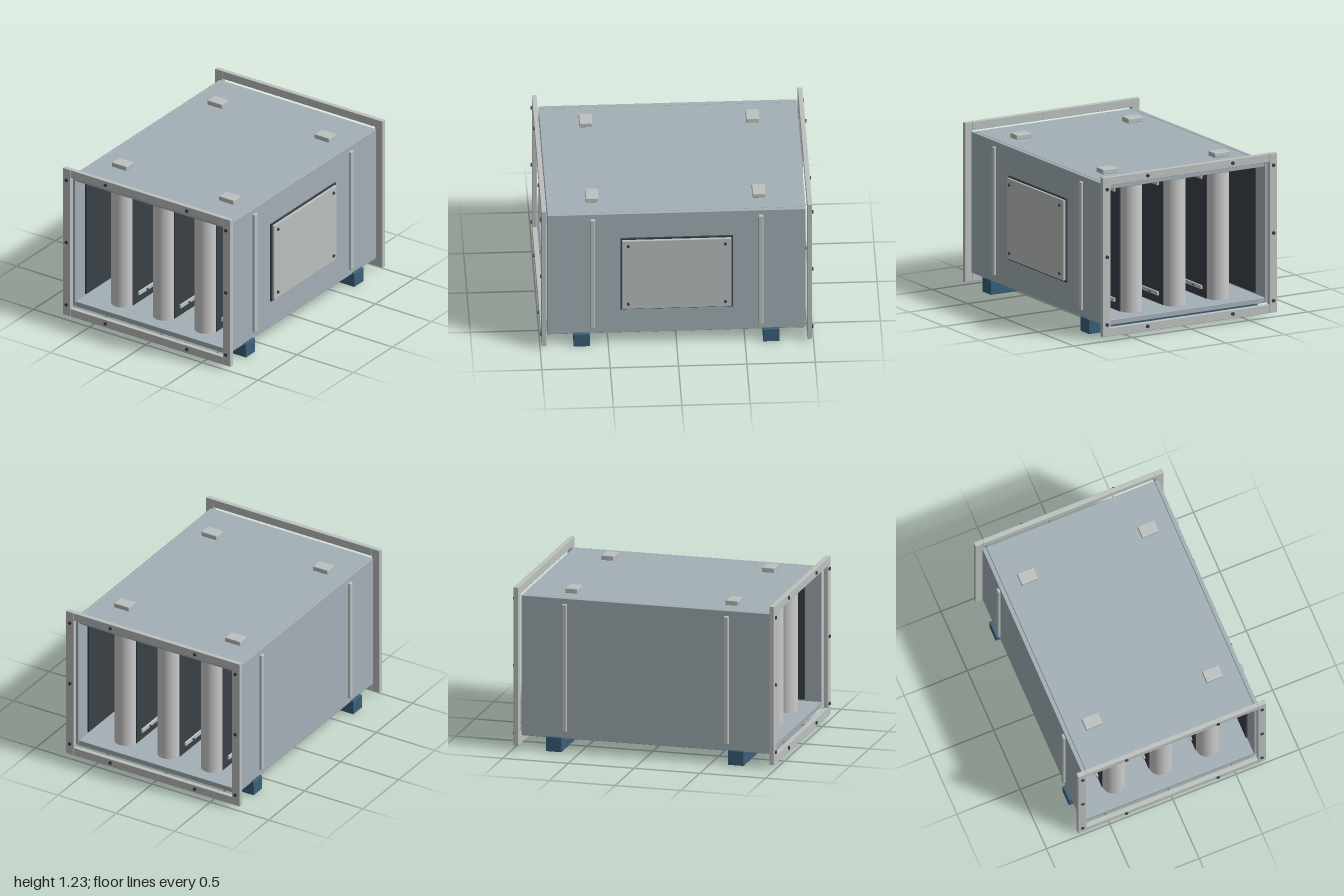
import * as THREE from 'three';
import { RoundedBoxGeometry } from 'three/addons/geometries/RoundedBoxGeometry.js';

const paint = (color) => new THREE.MeshStandardMaterial({ color });
const casingMat = paint(0xa3afb6);
const steelMat = paint(0xbcc1c0);
const noseMat = paint(0xc4c8c8);
const darkMat = paint(0x3a4046);
const skidMat = paint(0x3a6078);

// Box given by its min and max corners, with an optional softened edge
function box(parent, name, mat, [x0, y0, z0], [x1, y1, z1], bevel = 0) {
  const size = [x1 - x0, y1 - y0, z1 - z0];
  const geo = bevel ? new RoundedBoxGeometry(...size, 2, bevel) : new THREE.BoxGeometry(...size);
  const mesh = new THREE.Mesh(geo, mat);
  mesh.name = name;
  mesh.position.set((x0 + x1) / 2, (y0 + y1) / 2, (z0 + z1) / 2);
  parent.add(mesh);
}

// Bolt head whose axis lies along x or z
function bolt(parent, axis, radius, length, x, y, z) {
  const mesh = new THREE.Mesh(new THREE.CylinderGeometry(radius, radius, length, 12), darkMat);
  mesh.name = 'bolt';
  if (axis === 'x') mesh.rotation.z = Math.PI / 2;
  else mesh.rotation.x = Math.PI / 2;
  mesh.position.set(x, y, z);
  parent.add(mesh);
}

function group(parent, name) {
  const g = new THREE.Group();
  g.name = name;
  parent.add(g);
  return g;
}

// Bolted frame at one open end
function buildFlange(parent, side) {
  const g = group(parent, side > 0 ? 'frontFlange' : 'backFlange');
  const z0 = side > 0 ? 0.955 : -0.99;
  const z1 = z0 + 0.035;
  for (const x of [-0.745, 0.68]) box(g, 'flangeUpright', steelMat, [x, 0.03, z0], [x + 0.065, 1.23, z1], 0.003);
  for (const y of [0.03, 1.167]) box(g, 'flangeRail', steelMat, [-0.68, y, z0], [0.68, y + 0.063, z1], 0.003);
  for (const s of [-1, 1]) {
    for (const y of [0.12, 0.63, 1.14]) bolt(g, 'z', 0.013, 0.02, s * 0.71, y, side * 0.99);
    for (const y of [0.065, 1.2]) bolt(g, 'z', 0.013, 0.02, s * 0.363, y, side * 0.99);
  }
}

// Upright sound baffle with rounded noses and fixing rails
function buildBaffle(parent, x) {
  const g = group(parent, 'baffle');
  g.position.x = x;
  box(g, 'baffleCore', darkMat, [-0.091, 0.14, -0.76], [0.091, 1.125, 0.76]);
  for (const side of [-1, 1]) {
    const nose = new THREE.Mesh(
      new THREE.CylinderGeometry(0.086, 0.086, 0.985, 32, 1, false, side > 0 ? -Math.PI / 2 : Math.PI / 2, Math.PI),
      noseMat);
    nose.name = 'baffleNose';
    nose.position.set(0, 0.6325, side * 0.76);
    g.add(nose);
    for (const y of [0.215, 1.045]) {
      const inner = side * 0.09, outer = side * 0.105;
      box(g, 'baffleRail', steelMat,
        [Math.min(inner, outer), y - 0.015, -0.7], [Math.max(inner, outer), y + 0.015, 0.7], 0.003);
      for (const z of [-0.6, 0, 0.6]) bolt(g, 'x', 0.008, 0.012, side * 0.107, y, z);
    }
  }
}

export function createModel() {
  const model = new THREE.Group();
  model.name = 'ductSilencer';

  // Casing panels, ribs and dark side linings
  const casing = group(model, 'casing');
  box(casing, 'topPanel', casingMat, [-0.665, 1.125, -0.945], [0.665, 1.16, 0.945], 0.004);
  box(casing, 'bottomPanel', casingMat, [-0.665, 0.1, -0.945], [0.665, 0.14, 0.945], 0.004);
  for (const s of [-1, 1]) {
    const span = (a, b) => (s > 0 ? [a, b] : [-b, -a]);
    const [p0, p1] = span(0.667, 0.697);
    box(casing, 'sidePanel', casingMat, [p0, 0.1, -0.945], [p1, 1.16, 0.945], 0.004);
    const [l0, l1] = span(0.655, 0.668);
    box(casing, 'sideLining', darkMat, [l0, 0.15, -0.82], [l1, 1.115, 0.82]);
    const [r0, r1] = span(0.69, 0.717);
    for (const z of [-0.615, 0.615]) {
      box(casing, 'sideRib', steelMat, [r0, 0.15, z - 0.019], [r1, 1.12, z + 0.019], 0.009);
    }
  }

  for (const side of [1, -1]) buildFlange(model, side);
  for (const x of [-0.371, 0, 0.371]) buildBaffle(model, x);

  // Access hatch on the left wall only
  const hatch = group(model, 'accessHatch');
  box(hatch, 'hatchGasket', darkMat, [0.695, 0.315, -0.412], [0.709, 0.945, 0.412]);
  box(hatch, 'hatchCover', steelMat, [0.706, 0.327, -0.4], [0.726, 0.934, 0.4], 0.004);
  for (const z of [-0.355, 0.355]) {
    for (const y of [0.375, 0.89]) bolt(hatch, 'x', 0.011, 0.016, 0.728, y, z);
  }

  // Top pads and support skids
  for (const z of [-0.61, 0.61]) {
    for (const x of [-0.477, 0.477]) {
      box(model, 'topPad', steelMat, [x - 0.065, 1.158, z - 0.047], [x + 0.065, 1.196, z + 0.047], 0.006);
    }
  }
  for (const z of [-0.693, 0.693]) {
    box(model, 'skid', skidMat, [-0.72, 0, z - 0.06], [0.72, 0.11, z + 0.06], 0.004);
  }
  return model;
}
